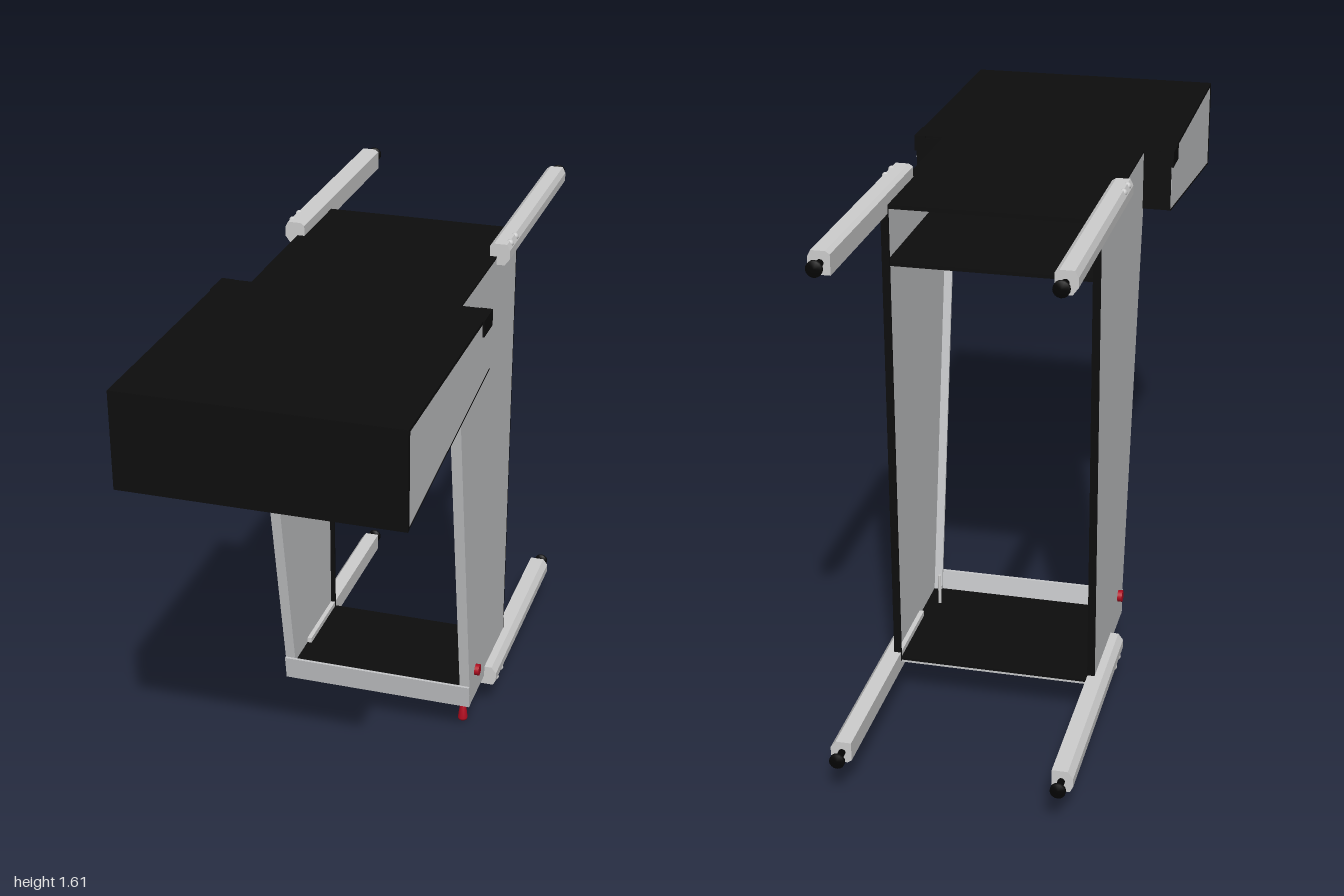
import * as THREE from 'three';

const mat = (name, color) => {
  const m = new THREE.MeshStandardMaterial({ color });
  m.name = name;
  return m;
};

export function createModel() {
  const root = new THREE.Group();
  root.name = 'wallCabinet';
  const grey = mat('sheetGrey', 0xc6c7c9);
  const light = mat('railGrey', 0xcecece);
  const black = mat('panelBlack', 0x0d0d0d);
  const rubber = mat('footBlack', 0x050505);
  const red = mat('knobRed', 0xb00c20);
  const steel = mat('steel', 0x9a9a9a);

  const add = (name, geo, material, x = 0, y = 0, z = 0) => {
    const m = new THREE.Mesh(geo, material);
    m.name = name;
    m.position.set(x, y, z);
    root.add(m);
    return m;
  };
  // Box given by its limits on each axis
  const box = (name, material, [x0, x1], [y0, y1], [z0, z1]) =>
    add(name, new THREE.BoxGeometry(x1 - x0, y1 - y0, z1 - z0), material,
      (x0 + x1) / 2, (y0 + y1) / 2, (z0 + z1) / 2);
  const extrude = (pts, depth) => new THREE.ExtrudeGeometry(
    new THREE.Shape(pts.map(p => new THREE.Vector2(...p))), { depth, bevelEnabled: false });
  // Profile of [z, y] points extruded across x0..x1
  const slab = (name, material, pts, x0, x1) =>
    add(name, extrude(pts, x1 - x0).rotateY(-Math.PI / 2).translate(x1, 0, 0), material);
  const span = (s, a, b) => (s > 0 ? [a, b] : [-b, -a]);

  // Body: side sheets with inward flanges at front and rear
  const side = [[-0.45, 0.13], [-0.02, 0.13], [0.21, 1.39], [0.21, 1.56], [-0.45, 1.56]];
  const frontFlange = [[-0.028, 0.13], [-0.02, 0.13], [0.21, 1.39], [0.202, 1.39]];
  for (const s of [1, -1]) {
    slab('sidePanel', grey, side, ...span(s, 0.299, 0.306));
    slab('frontFlange', grey, frontFlange, ...span(s, 0.274, 0.299));
    box('rearTrim', black, span(s, 0.284, 0.306), [0.13, 1.56], [-0.455, -0.449]);
  }
  box('topPanel', black, [-0.306, 0.306], [1.555, 1.566], [-0.455, 0.21]);
  box('innerShelf', black, [-0.299, 0.299], [1.385, 1.395], [-0.44, 0.205]);

  // Base: black floor on a grey tray with a front lip
  box('floor', black, [-0.299, 0.299], [0.135, 0.142], [-0.455, -0.02]);
  box('baseTray', grey, [-0.306, 0.306], [0.125, 0.135], [-0.45, -0.01]);
  slab('frontLip', grey, [[-0.02, 0.122], [-0.01, 0.122], [0.002, 0.2], [-0.008, 0.2]], -0.306, 0.306);
  box('connectorPlate', black, [-0.2, 0.2], [0.12, 0.126], [-0.43, -0.06]);
  for (const [x, z, w, d] of [[0.09, -0.2, 0.055, 0.09], [-0.08, -0.18, 0.055, 0.08],
    [0.05, -0.32, 0.05, 0.035], [-0.09, -0.32, 0.05, 0.035]]) {
    box('connector', light, [x - w / 2, x + w / 2], [0.113, 0.121], [z - d / 2, z + d / 2]);
    box('connectorSlot', black, [x - w / 4, x + w / 4], [0.111, 0.114], [z - d / 4, z + d / 4]);
  }
  for (const x of [-0.215, 0.125])
    add('baseStud', new THREE.CylinderGeometry(0.011, 0.011, 0.014, 12), light, x, 0.119, -0.05);

  // Hood: open below, grey cheeks and lining, black front, top and rear
  const cheek = [[0.2, 1.392], [1, 1.296], [1, 1.56], [0.2, 1.56]];
  const rim = [[0.2, 1.386], [1, 1.29], [1, 1.296], [0.2, 1.392]];
  for (const s of [1, -1]) {
    slab('hoodCheek', grey, cheek, ...span(s, 0.382, 0.39));
    slab('hoodRim', black, rim, ...span(s, 0.378, 0.39));
    box('hoodClip', black, span(s, 0.36, 0.395), [1.52, 1.567], [0.197, 0.29]);
    box('hoodRear', black, span(s, 0.3, 0.389), [1.388, 1.56], [0.197, 0.208]);
  }
  box('hoodTop', black, [-0.391, 0.391], [1.558, 1.567], [0.2, 1]);
  box('hoodLining', grey, [-0.382, 0.382], [1.55, 1.558], [0.21, 0.985]);
  box('hoodFront', black, [-0.391, 0.391], [1.29, 1.566], [0.988, 1.001]);
  box('hoodFrontLining', grey, [-0.382, 0.382], [1.3, 1.55], [0.984, 0.988]);
  box('hoodBracket', black, [-0.06, 0.06], [1.5, 1.55], [0.3, 0.42]);

  // Four wall rails with chamfered outer corners, bolts and feet
  const profile = [[0.285, -0.032], [0.33, -0.032], [0.345, -0.012], [0.345, 0.014],
    [0.336, 0.032], [0.297, 0.032], [0.285, 0.024]];
  for (const s of [1, -1]) for (const [y, v] of [[1.573, 1], [0.127, -1]]) {
    let pts = profile.map(([px, py]) => [px * s, py * v]);
    if (s * v < 0) pts = pts.reverse();
    add('wallRail', extrude(pts, 0.75), light, 0, y, -0.95);
    for (const z of [-0.24, -0.3])
      add('railBolt', new THREE.SphereGeometry(0.011, 12, 8), light, s * 0.335, y + v * 0.024, z);
    const foot = new THREE.LatheGeometry([[0, 0], [0.01, 0], [0.01, 0.035], [0.022, 0.04],
      [0.022, 0.05], [0, 0.05]].map(p => new THREE.Vector2(...p)), 16).rotateX(-Math.PI / 2);
    add('railFoot', foot, rubber, s * 0.312, y, -0.95);
  }

  // Red side knobs
  for (const s of [1, -1])
    add('sideKnob', new THREE.CylinderGeometry(0.018, 0.018, 0.016, 20).rotateZ(Math.PI / 2),
      red, s * 0.312, 0.222, -0.08);

  // Hanging pull handle
  const grip = [[0, 0], [0.014, 0.001], [0.016, 0.008], [0.009, 0.06], [0, 0.062]];
  add('pullHandle', new THREE.LatheGeometry(grip.map(p => new THREE.Vector2(...p)), 20),
    red, 0.258, 0, -0.12);
  const shaft = add('pullShaft', new THREE.CylinderGeometry(0.006, 0.006, 0.07, 12), steel, 0.258, 0.09, -0.115);
  shaft.rotation.x = 0.12;
  add('pullCollar', new THREE.CylinderGeometry(0.019, 0.013, 0.012, 20), red, 0.258, 0.117, -0.11);
  add('pullRod', new THREE.CylinderGeometry(0.005, 0.005, 0.11, 12), light, 0.258, 0.185, -0.11);
  box('pullPlate', black, [0.225, 0.29], [0.12, 0.126], [-0.2, -0.06]);

  return root;
}
